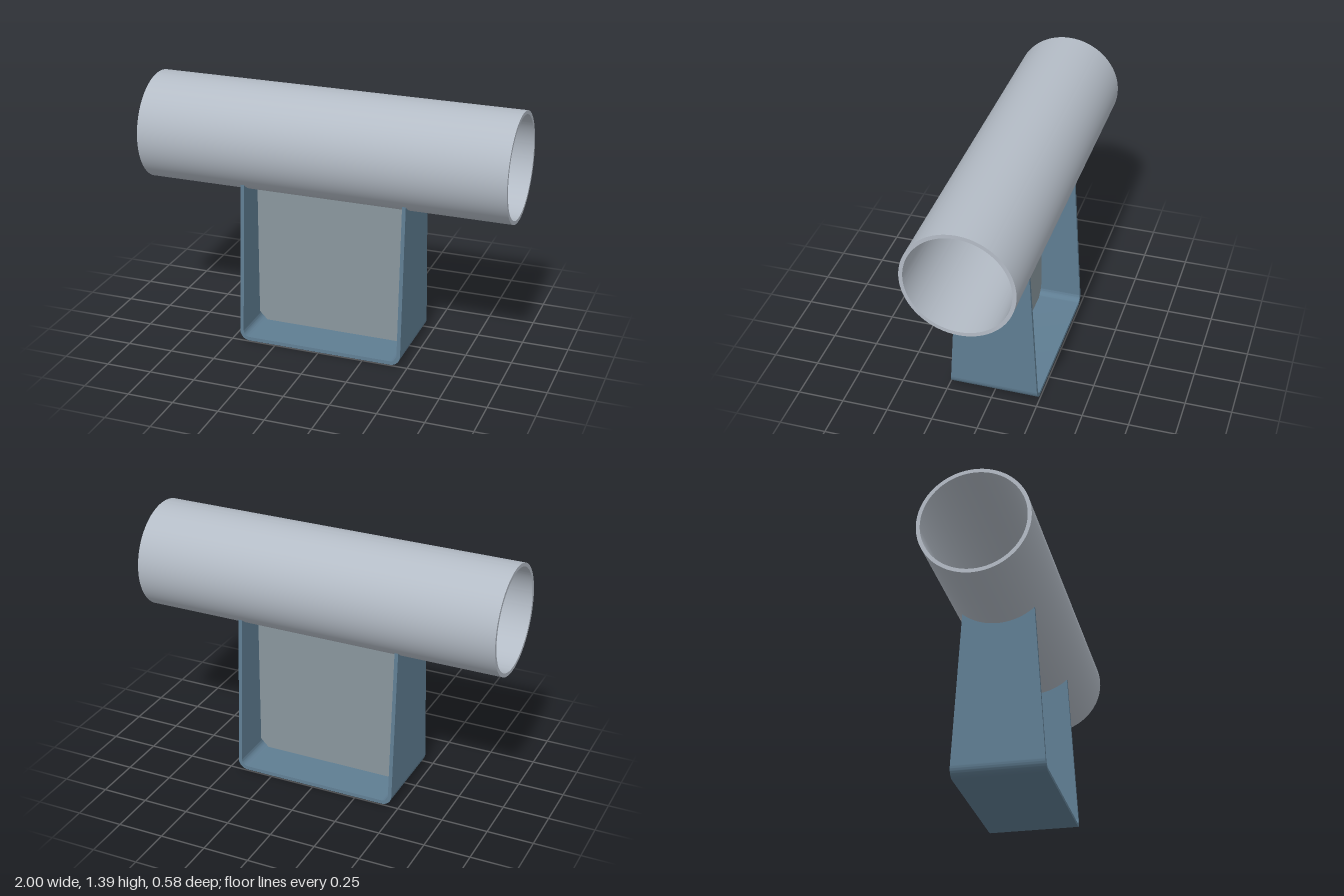
import * as THREE from 'three';
import { toCreasedNormals } from 'three/addons/utils/BufferGeometryUtils.js';

const PIPE_Y = 1.105, PIPE_R = 0.29, PIPE_WALL = 0.02;
const HALF_W = 0.457, SHEET = 0.02, BEND_R = 0.055;
const halfDepth = (y) => 0.243 - 0.06 * y; // bracket tapers towards the top

const pipeMat = new THREE.MeshStandardMaterial({ color: 0xb4bcc6 });
const bracketMat = new THREE.MeshStandardMaterial({ color: 0x5f7d92 });
const plateMat = new THREE.MeshStandardMaterial({ color: 0x8a979e });

// Extrude a shape, centred on its depth
function extrude(shape, depth, curveSegments = 16) {
  const geo = new THREE.ExtrudeGeometry(shape, { depth, curveSegments, bevelEnabled: false });
  return geo.translate(0, 0, -depth / 2);
}

function part(name, geo, material) {
  const mesh = new THREE.Mesh(toCreasedNormals(geo, 0.5), material);
  mesh.name = name;
  return mesh;
}

// Hollow tube running along x
function makePipe() {
  const ring = new THREE.Shape().absarc(0, 0, PIPE_R, 0, Math.PI * 2);
  ring.holes.push(new THREE.Path().absarc(0, 0, PIPE_R - PIPE_WALL, 0, Math.PI * 2, true));
  const geo = extrude(ring, 2, 96).rotateY(Math.PI / 2).translate(0, PIPE_Y, 0);
  return part('pipe', geo, pipeMat);
}

// Floor of the bracket with its two rounded bends
function makeBase() {
  const w = HALF_W, r = BEND_R, c = w - r, PI = Math.PI;
  const s = new THREE.Shape();
  s.moveTo(-w, r);
  s.absarc(-c, r, r, PI, PI * 1.5);
  s.absarc(c, r, r, PI * 1.5, PI * 2);
  s.lineTo(w - SHEET, r);
  s.absarc(c, r, r - SHEET, PI * 2, PI * 1.5, true);
  s.absarc(-c, r, r - SHEET, PI * 1.5, PI, true);
  s.closePath();
  const geo = extrude(s, 2);
  const pos = geo.attributes.position;
  for (let i = 0; i < pos.count; i++) pos.setZ(i, pos.getZ(i) * halfDepth(pos.getY(i)));
  return part('bracketBase', geo, bracketMat);
}

// Tapered upright with a saddle cut that fits the pipe
function makeLeg(side) {
  const top = 0.886, z = halfDepth(top), low = halfDepth(BEND_R);
  const a = Math.asin(z / PIPE_R);
  const s = new THREE.Shape();
  s.moveTo(-low, BEND_R);
  s.lineTo(low, BEND_R);
  s.absarc(0, PIPE_Y, PIPE_R, -Math.PI / 2 + a, -Math.PI / 2 - a, true);
  s.closePath();
  const geo = extrude(s, SHEET, 32).rotateY(Math.PI / 2);
  geo.translate(side * (HALF_W - SHEET / 2), 0, 0);
  return part(side > 0 ? 'leftLeg' : 'rightLeg', geo, bracketMat);
}

// Central web with clipped lower corners
function makeWeb() {
  const w = HALF_W - SHEET, clip = 0.045, bottom = SHEET, top = 0.805;
  const s = new THREE.Shape([
    [-w + clip, bottom], [w - clip, bottom], [w, bottom + clip],
    [w, top], [-w, top], [-w, bottom + clip],
  ].map(([x, y]) => new THREE.Vector2(x, y)));
  return part('centreWeb', extrude(s, SHEET), plateMat);
}

export function createModel() {
  const model = new THREE.Group();
  model.name = 'pipeSupport';
  const bracket = new THREE.Group();
  bracket.name = 'bracket';
  bracket.add(makeBase(), makeLeg(1), makeLeg(-1));
  model.add(makePipe(), bracket, makeWeb());
  return model;
}
